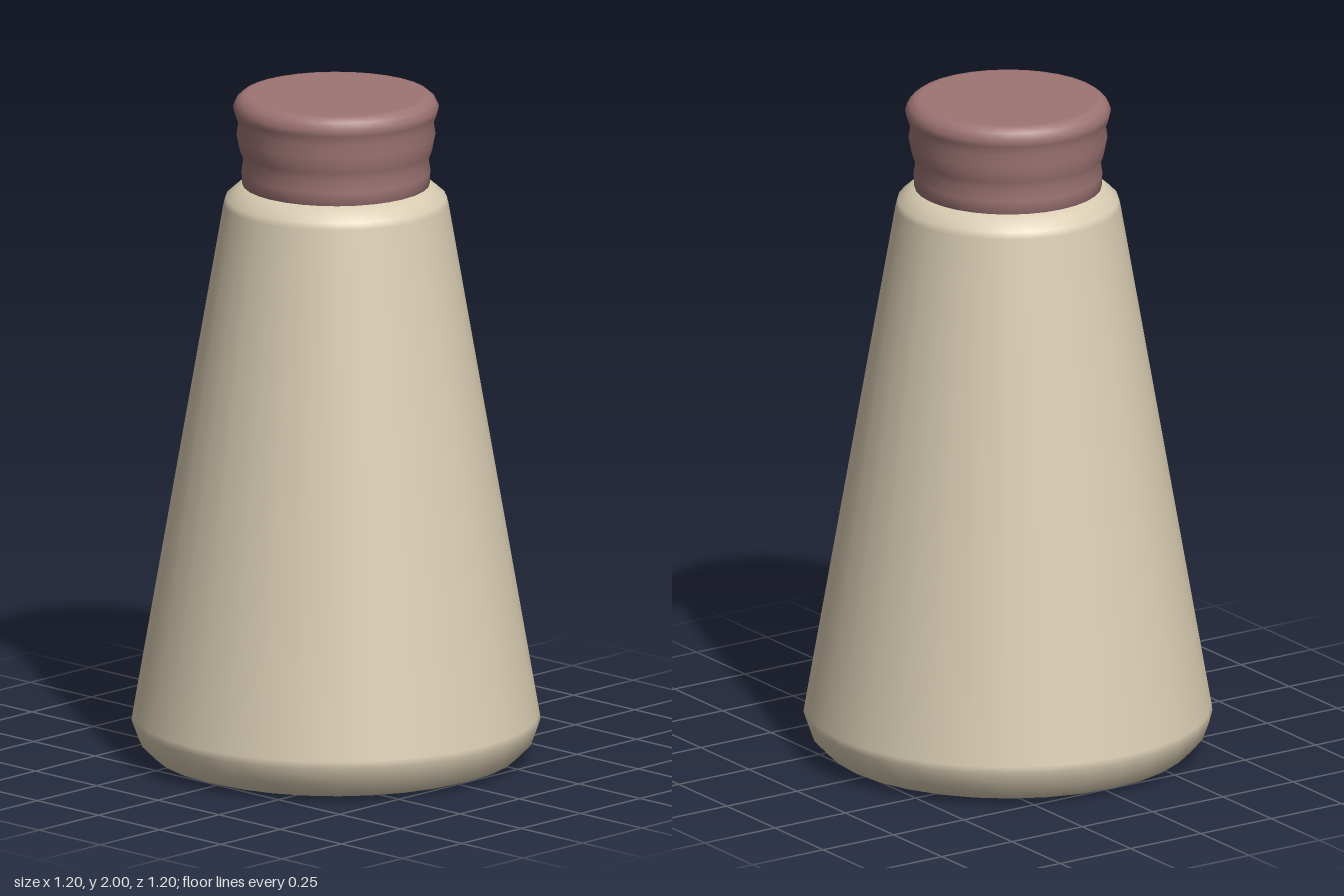
import * as THREE from 'three';

const SIDES = 32;

// Turns a [radius, height] profile, listed bottom to top, around the y axis
function turned(name, profile, color) {
  const points = profile.map(([r, y]) => new THREE.Vector2(r, y));
  const mesh = new THREE.Mesh(
    new THREE.LatheGeometry(points, SIDES),
    new THREE.MeshStandardMaterial({ color })
  );
  mesh.name = name;
  return mesh;
}

export function createModel() {
  const group = new THREE.Group();
  group.name = 'stopperedFlask';

  // Tapered body with a rounded foot and a softened shoulder
  group.add(turned('body', [
    [0, 0], [0.48, 0], [0.5, 0.002], [0.54, 0.015], [0.58, 0.055], [0.6, 0.11], [0.597, 0.13],
    [0.33, 1.67], [0.325, 1.69], [0.3, 1.712], [0.275, 1.73], [0.255, 1.732], [0, 1.732],
  ], 0xd8ccb2));

  // Stopper with a slight waist and a flared, rounded lip
  group.add(turned('stopper', [
    [0, 1.71], [0.255, 1.71], [0.275, 1.73], [0.277, 1.77], [0.272, 1.805], [0.282, 1.83],
    [0.292, 1.88], [0.287, 1.915], [0.298, 1.945], [0.302, 1.965], [0.292, 1.985],
    [0.276, 1.998], [0.26, 2], [0, 2],
  ], 0x9e7474));

  return group;
}
